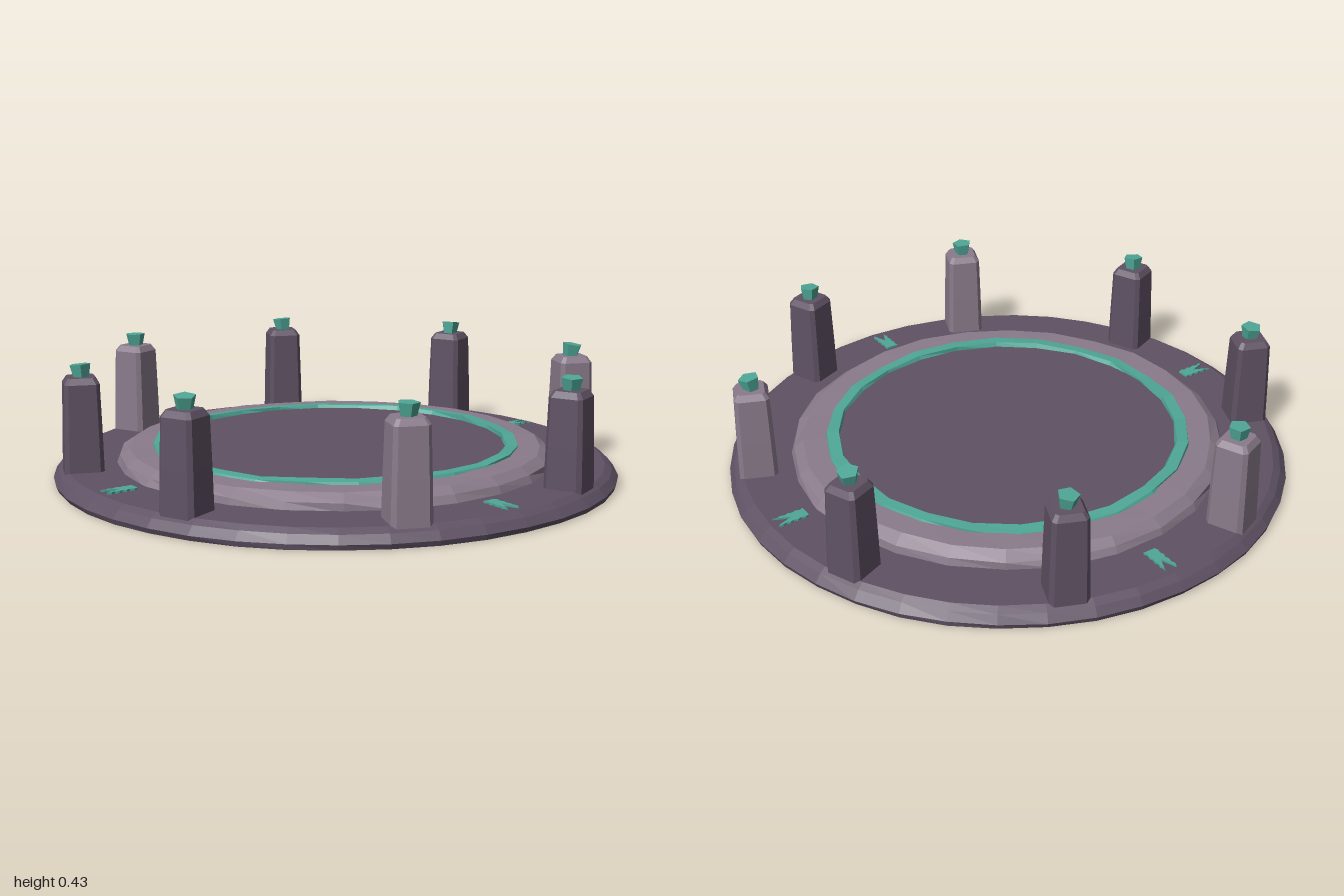
import * as THREE from 'three';

const darkStone = new THREE.MeshStandardMaterial({ color: 0x5f5264, name: 'darkStone' });
const lightStone = new THREE.MeshStandardMaterial({ color: 0x8a7b8b, name: 'lightStone' });
const teal = new THREE.MeshStandardMaterial({ color: 0x4fa797, name: 'tealCrystal' });

// Faceted mesh: every face gets its own normal
function faceted(geometry, material, name) {
  const g = geometry.index ? geometry.toNonIndexed() : geometry;
  g.computeVertexNormals();
  const mesh = new THREE.Mesh(g, material);
  mesh.name = name;
  return mesh;
}

// Move each vertex by a rule
function shape(geometry, rule) {
  const p = geometry.attributes.position;
  const v = new THREE.Vector3();
  for (let i = 0; i < p.count; i++) {
    rule(v.fromBufferAttribute(p, i));
    p.setXYZ(i, v.x, v.y, v.z);
  }
  return geometry;
}

// Turned stone with a rough, hewn outline
function hewn(profile, sides, rough, lift, material, name) {
  const g = new THREE.LatheGeometry(profile.map(([x, y]) => new THREE.Vector2(x, y)), sides);
  shape(g, v => {
    const r = Math.hypot(v.x, v.z);
    if (r < 0.1) return;
    const a = Math.atan2(v.x, v.z);
    const k = 1 + rough * Math.sin(7 * a + v.y * 90) * Math.cos(3 * a + r * 20);
    v.x *= k;
    v.z *= k;
    v.y += lift * Math.sin(5 * a + r * 8) * Math.cos(8 * a);
  });
  return faceted(g, material, name);
}

// Four-sided pillar with chamfered corners and top, plus its crystal
function pillar(index, material) {
  const group = new THREE.Group();
  group.name = 'pillar' + (index + 1);
  const w = 0.064, c = 0.014;
  const outline = [[w, -w + c], [w, w - c], [w - c, w], [-w + c, w],
    [-w, w - c], [-w, -w + c], [-w + c, -w], [w - c, -w]];
  const levels = [[0.05, 1.05], [0.2, 1], [0.362, 0.93], [0.383, 0.72]];
  const pos = [], idx = [], n = outline.length;
  for (const [y, s] of levels) for (const [x, z] of outline) pos.push(x * s, y, z * s);
  for (let l = 0; l < levels.length - 1; l++) {
    for (let i = 0; i < n; i++) {
      const a = l * n + i, b = l * n + (i + 1) % n;
      idx.push(a, a + n, b, b, a + n, b + n);
    }
  }
  const top = (levels.length - 1) * n;
  for (let i = 1; i < n - 1; i++) idx.push(top, top + i + 1, top + i);
  const g = new THREE.BufferGeometry();
  g.setAttribute('position', new THREE.Float32BufferAttribute(pos, 3));
  g.setIndex(idx);
  group.add(faceted(g, material, 'pillarShaft'));

  // Crystal widening towards a slanted top
  const crystal = faceted(new THREE.CylinderGeometry(0.037, 0.027, 0.046, 5), teal, 'pillarCrystal');
  crystal.position.y = 0.402;
  crystal.rotation.set(0.1, index * 1.3, -0.08);
  group.add(crystal);

  const a = Math.PI / 8 + index * Math.PI / 4;
  group.position.set(0.893 * Math.sin(a), 0, 0.893 * Math.cos(a));
  group.rotation.y = a;
  return group;
}

// Thin radial inlay with notched long edges
function inlay(index) {
  const s = new THREE.Shape();
  const steps = 8, half = 0.056;
  for (let i = 0; i <= steps; i++) s.lineTo(i % 2 ? 0.025 : 0.02, -half + 2 * half * i / steps);
  for (let i = steps; i >= 0; i--) s.lineTo(i % 2 ? -0.02 : -0.025, -half + 2 * half * i / steps);
  const g = new THREE.ExtrudeGeometry(s, { depth: 0.009, bevelEnabled: false });
  g.rotateX(-Math.PI / 2);
  const mesh = faceted(g, teal, 'inlay' + (index + 1));
  const a = index * Math.PI / 2;
  mesh.position.set(0.873 * Math.sin(a), 0.058, 0.873 * Math.cos(a));
  mesh.rotation.y = a;
  return mesh;
}

export function createModel() {
  const model = new THREE.Group();
  model.name = 'stoneCircle';

  // Base slab
  model.add(hewn([[0, 0], [0.99, 0], [0.997, 0.018], [0.975, 0.045], [0.95, 0.06], [0, 0.06]],
    40, 0.003, 0, darkStone, 'baseSlab'));
  // Raised step
  model.add(hewn([[0.775, 0.055], [0.765, 0.085], [0.73, 0.11], [0.63, 0.112], [0.62, 0.09]],
    26, 0.008, 0.003, lightStone, 'raisedStep'));
  // Floor of the platform
  model.add(hewn([[0.625, 0.06], [0.625, 0.107], [0, 0.107]], 26, 0, 0, darkStone, 'platformFloor'));
  // Glowing ring around the floor
  model.add(hewn([[0.652, 0.1], [0.645, 0.119], [0.605, 0.121], [0.598, 0.1]],
    24, 0.008, 0.006, teal, 'crystalRing'));

  // Pillars, counted from the front towards the left
  const lightPillars = [1, 3, 6];
  for (let i = 0; i < 8; i++) model.add(pillar(i, lightPillars.includes(i) ? lightStone : darkStone));
  for (let i = 0; i < 4; i++) model.add(inlay(i));
  return model;
}
